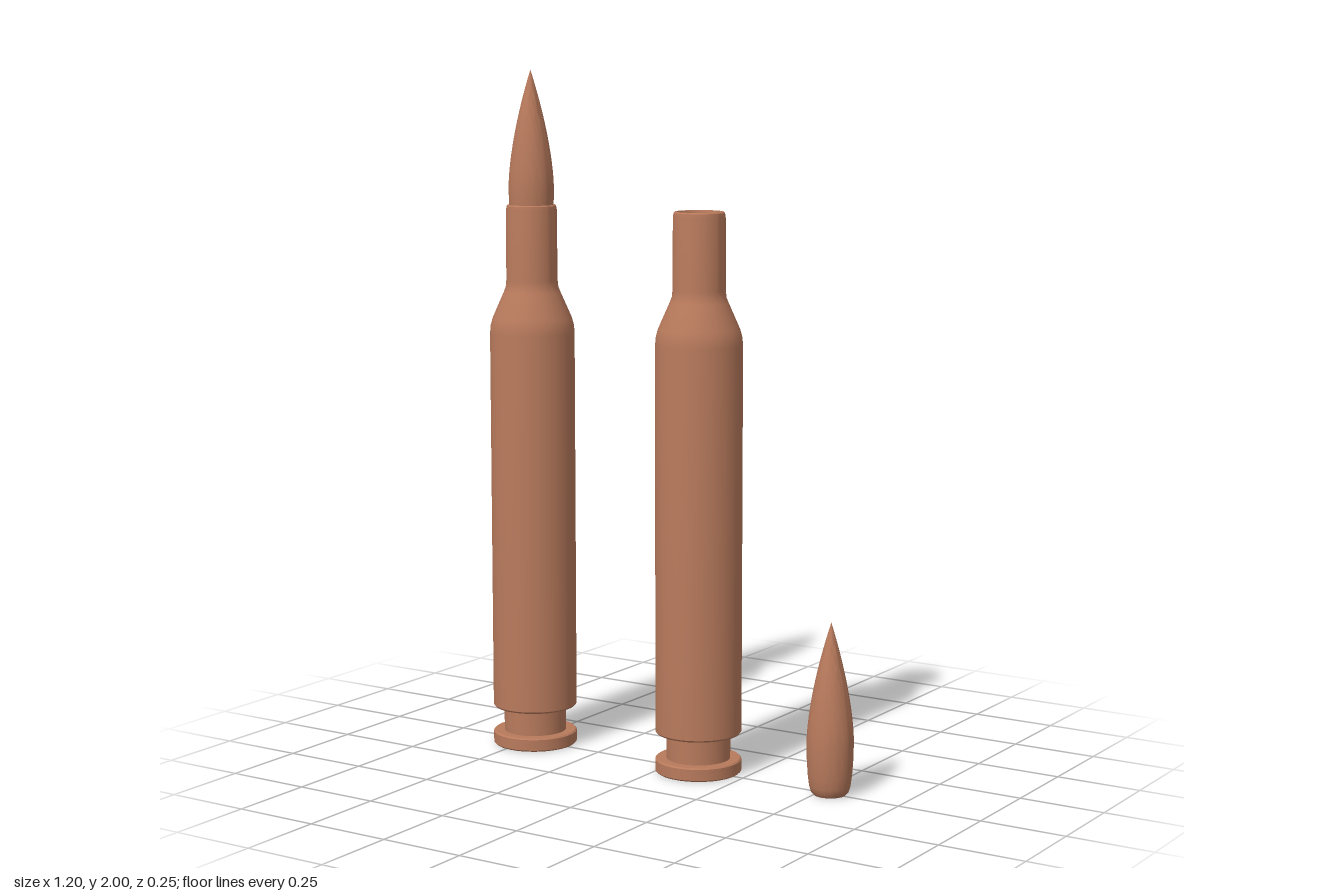
import * as THREE from 'three';
import { toCreasedNormals } from 'three/addons/utils/BufferGeometryUtils.js';

const SEGMENTS = 48;
const copper = new THREE.MeshStandardMaterial({ color: 0xb87a5c });
const steel = new THREE.MeshStandardMaterial({ color: 0x8c8c8c });

// Turned part from [radius, height] pairs, listed from the base up the outside
function turned(name, profile, material) {
  const points = profile.map(([r, y]) => new THREE.Vector2(r, y));
  const geometry = toCreasedNormals(new THREE.LatheGeometry(points, SEGMENTS), 0.6);
  const mesh = new THREE.Mesh(geometry, material);
  mesh.name = name;
  return mesh;
}

// Pointed bullet with a rounded heel and a curved nose
function makeBullet() {
  const profile = [[0, 0], [0.046, 0], [0.053, 0.008], [0.058, 0.025], [0.062, 0.055], [0.065, 0.1], [0.066, 0.15]];
  const steps = 14;
  for (let i = 1; i <= steps; i++) {
    const t = i / steps;
    profile.push([0.066 * (1 - Math.pow(t, 1.6)), 0.15 + 0.34 * t]);
  }
  return turned('bullet', profile, copper);
}

// Bottle-necked hollow case with rim, extractor groove and primer
function makeCase() {
  const group = new THREE.Group();
  group.name = 'case';
  const profile = [
    [0.058, 0.012], [0.058, 0],                                      // primer pocket
    [0.12, 0], [0.124, 0.004], [0.124, 0.036], [0.12, 0.04],         // rim
    [0.092, 0.04], [0.092, 0.115], [0.12, 0.115], [0.124, 0.12],     // extractor groove
    [0.124, 1.235], [0.122, 1.258], [0.116, 1.28],                   // body
    [0.083, 1.355], [0.077, 1.37], [0.075, 1.39],                    // shoulder
    [0.074, 1.595], [0.072, 1.607], [0.069, 1.61], [0.063, 1.61],    // neck and mouth
    [0.061, 1.604], [0.061, 1.38], [0.104, 1.26], [0.108, 1.2],      // inside wall
    [0.108, 0.2], [0.09, 0.15], [0, 0.14],                           // inside floor
  ];
  group.add(turned('caseWall', profile, copper));
  group.add(turned('primer', [[0, 0.002], [0.054, 0.002], [0.058, 0.006], [0.058, 0.012], [0, 0.012]], steel));
  return group;
}

export function createModel() {
  const model = new THREE.Group();
  model.name = 'cartridgeSet';

  // Complete round
  const round = new THREE.Group();
  round.name = 'completeRound';
  const seatedBullet = makeBullet();
  seatedBullet.position.y = 1.51;
  round.add(makeCase(), seatedBullet);
  round.position.x = -0.478;

  // Empty case
  const emptyCase = makeCase();
  emptyCase.name = 'emptyCase';
  emptyCase.position.x = 0.1;

  // Loose bullet
  const looseBullet = makeBullet();
  looseBullet.name = 'looseBullet';
  looseBullet.position.x = 0.534;

  model.add(round, emptyCase, looseBullet);
  return model;
}
